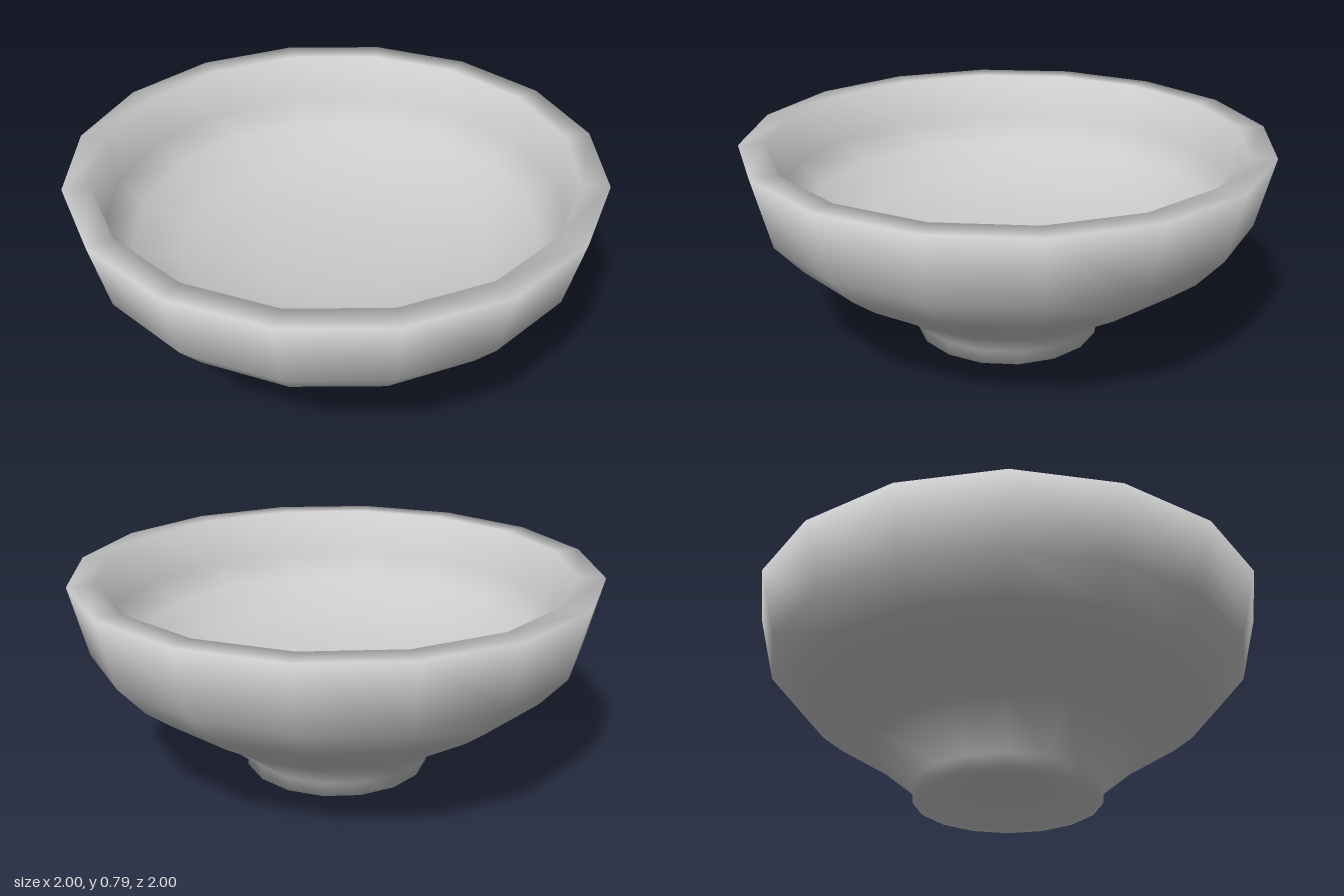
import * as THREE from 'three';

const SIDES = 16;

// Lathe whose ring normals are the even average of the two neighbouring bands
function softLathe(points) {
  const geometry = new THREE.LatheGeometry(points, SIDES);
  const bands = points.slice(1).map((p, i) =>
    new THREE.Vector2(p.y - points[i].y, points[i].x - p.x).normalize());
  const normals = points.map((p, j) => {
    if (p.x === 0) return new THREE.Vector2(0, j === 0 ? -1 : 1);
    return bands[j - 1].clone().add(bands[j]).normalize();
  });
  for (let i = 0; i <= SIDES; i++) {
    const angle = (i / SIDES) * Math.PI * 2;
    normals.forEach((n, j) => geometry.attributes.normal.setXYZ(
      i * points.length + j, n.x * Math.sin(angle), n.y, n.x * Math.cos(angle)));
  }
  return geometry;
}

export function createModel() {
  const group = new THREE.Group();
  group.name = 'footedBowl';
  const material = new THREE.MeshStandardMaterial({ color: 0xcccccc });

  // One closed profile, from the underside centre round to the inside centre
  const profile = [
    [0, 0.05], [0.28, 0.045], [0.31, 0],                        // recessed underside
    [0.36, 0], [0.362, 0.055],                                  // foot ring
    [0.53, 0.195], [0.74, 0.33], [0.835, 0.405], [0.935, 0.52], // outer wall
    [1, 0.785], [0.9, 0.785],                                   // rim
    [0.87, 0.6], [0.78, 0.51], [0.6, 0.42],                     // inner wall
    [0.3, 0.36], [0, 0.35],                                     // inner floor
  ].map(([r, y]) => new THREE.Vector2(r, y));

  const bowl = new THREE.Mesh(softLathe(profile), material);
  bowl.name = 'bowl';
  group.add(bowl);
  return group;
}
